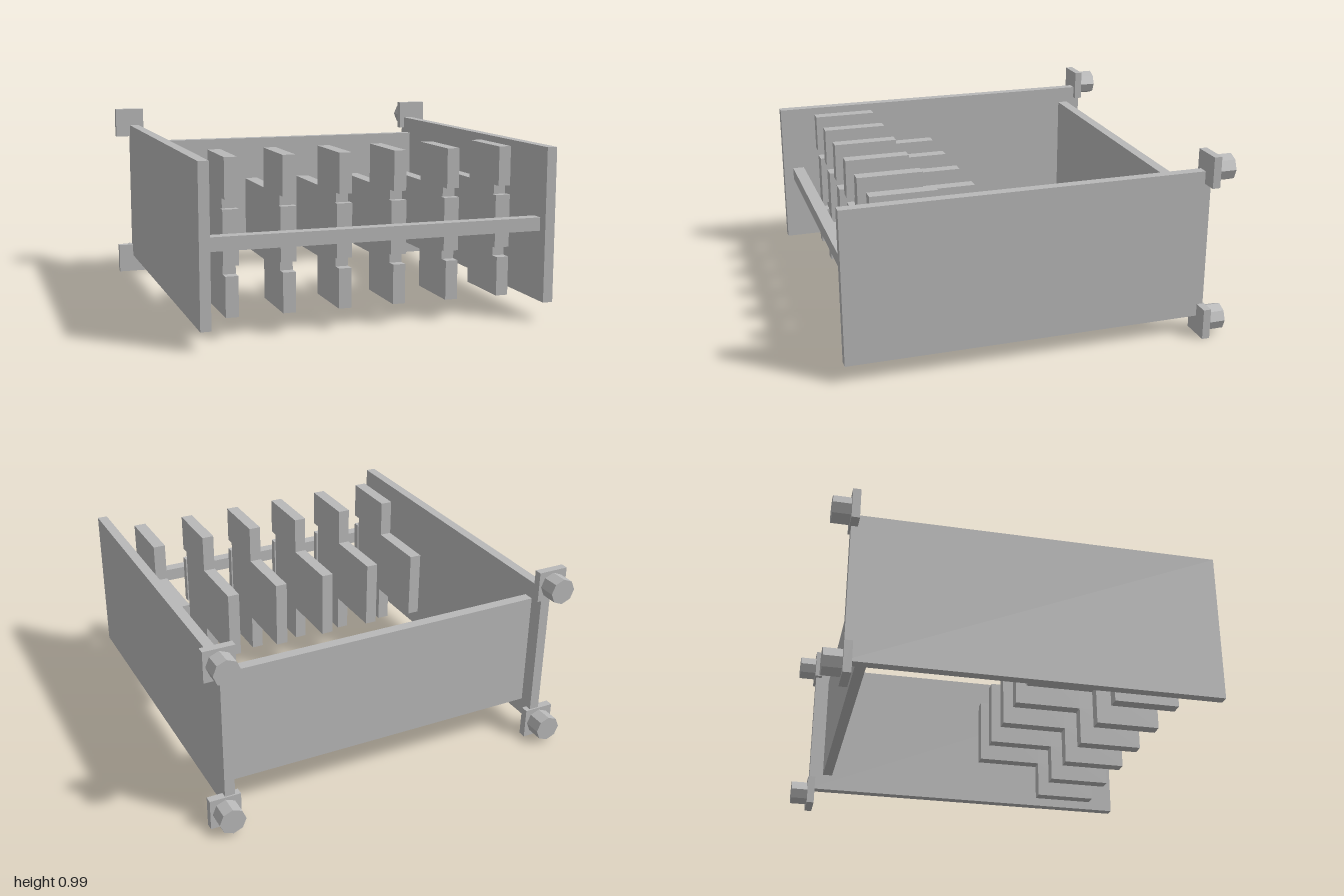
import * as THREE from 'three';

export function createModel() {
  const model = new THREE.Group();
  model.name = 'finRack';
  const grey = new THREE.MeshStandardMaterial({ color: 0xb8b8b8, flatShading: true });
  grey.name = 'plainGrey';
  const midY = 0.495; // everything is symmetric about this height

  const add = (name, geometry, x, y, z) => {
    const mesh = new THREE.Mesh(geometry, grey);
    mesh.name = name;
    mesh.position.set(x, y, z);
    model.add(mesh);
    return mesh;
  };
  const box = (w, h, d) => new THREE.BoxGeometry(w, h, d);

  // Side walls, with a square bracket and octagonal bolt at each rear corner
  const bolt = new THREE.CylinderGeometry(0.069, 0.069, 0.092, 8).rotateX(Math.PI / 2);
  for (const sx of [-1, 1]) {
    const side = sx > 0 ? 'left' : 'right';
    add(side + 'Wall', box(0.053, 0.796, 1.895), sx * 0.89, midY, 0.0495);
    for (const sy of [-1, 1]) {
      const level = sy > 0 ? 'Upper' : 'Lower';
      const x = sx * 0.917, y = midY + sy * 0.4135;
      add(side + level + 'Bracket', box(0.163, 0.163, 0.041), x, y, -0.885);
      add(side + level + 'Bolt', bolt, x, y, -0.951);
    }
  }

  // Cross members
  add('backPanel', box(1.728, 0.614, 0.055), 0, midY, -0.791);
  add('frontRail', box(1.728, 0.069, 0.064), 0, midY, 0.911);

  // Fin side outline as (z, height from middle): stepped at the rear, notched at the front
  const upper = [[0.117, 0.186], [0.478, 0.186], [0.478, 0.389], [0.816, 0.389], [0.816, 0.186], [0.764, 0.186]];
  const lower = upper.map(([z, y]) => [z, -y]).reverse();
  const outline = new THREE.Shape([...upper, ...lower].map(([z, y]) => new THREE.Vector2(-z, y)));
  const fin = new THREE.ExtrudeGeometry(outline, { depth: 0.065, bevelEnabled: false })
    .translate(0, 0, -0.0325)
    .rotateY(Math.PI / 2);

  // Six fins, each with a clip seated in its front notch
  for (let i = 0; i < 6; i++) {
    const x = (i - 2.5) * 0.288 + 0.002;
    add('fin' + (i + 1), fin, x, midY, 0);
    add('clip' + (i + 1), box(0.08, 0.274, 0.04), x, midY, 0.783);
  }
  return model;
}
